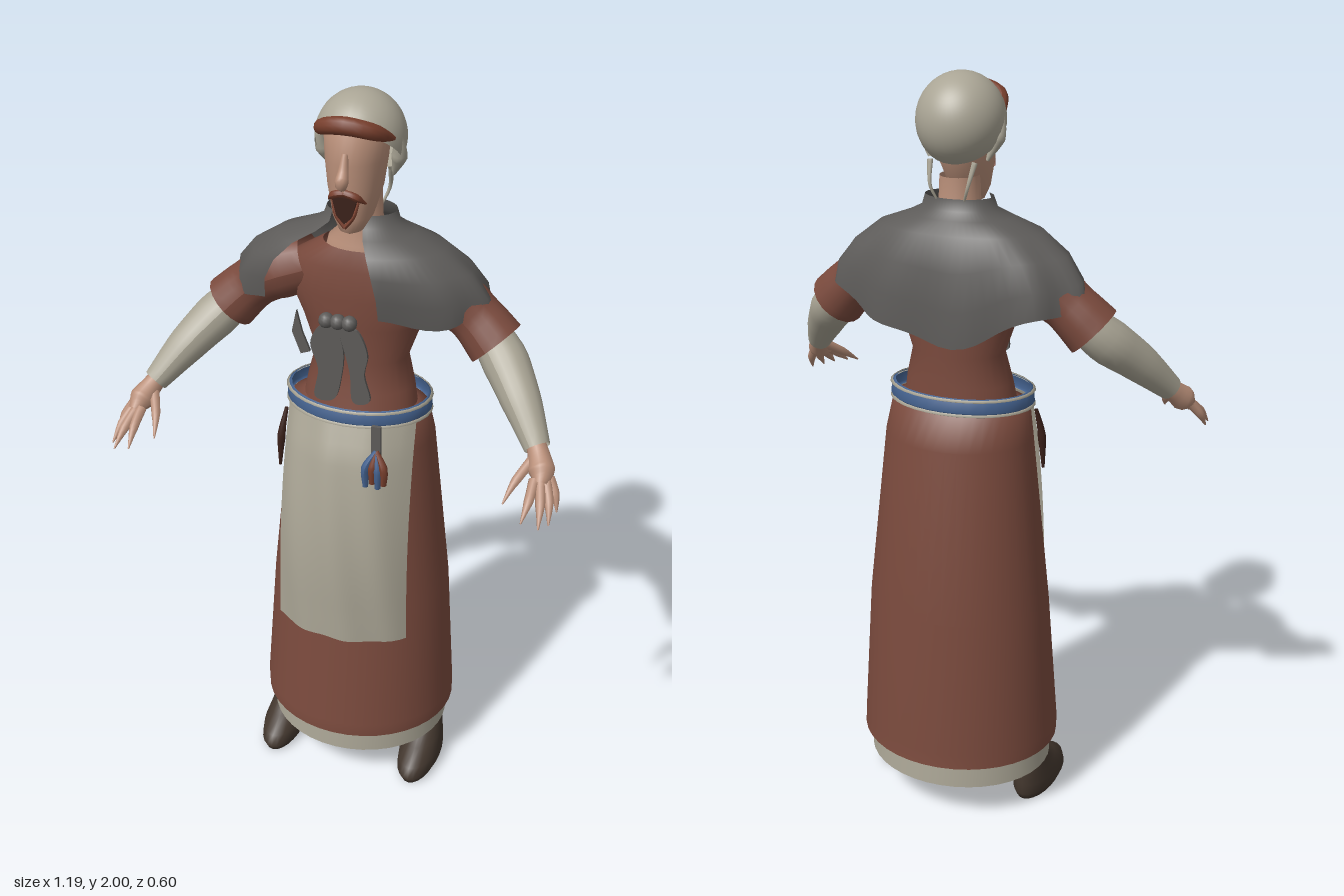
import * as THREE from 'three';

const mat = (name, color) => {
  const m = new THREE.MeshStandardMaterial({ color, side: THREE.DoubleSide });
  m.name = name;
  return m;
};
const V = (p) => new THREE.Vector3(...p);

export function createModel() {
  const model = new THREE.Group();
  model.name = 'villager';
  const red = mat('russet wool', 0x7a4a3d);
  const linen = mat('linen', 0xaaa595);
  const grey = mat('grey wool', 0x5d5b59);
  const skin = mat('skin', 0xb98f79);
  const blue = mat('blue belt', 0x44628f);
  const leather = mat('dark leather', 0x43372e);
  const hair = mat('red hair', 0x783f2d);
  const dark = mat('dark mouth', 0x3a2019);

  const add = (name, geometry, material, parent = model) => {
    const mesh = new THREE.Mesh(geometry, material);
    mesh.name = name;
    parent.add(mesh);
    return mesh;
  };

  // Surface from a rule fn(i, j); columns wrap round when closed
  const grid = (cols, rows, closed, fn) => {
    const pos = [], idx = [];
    for (let j = 0; j < rows; j++) for (let i = 0; i < cols; i++) pos.push(...fn(i, j));
    for (let j = 0; j < rows - 1; j++) for (let i = 0; i < (closed ? cols : cols - 1); i++) {
      const n = (i + 1) % cols, a = j * cols + i, b = j * cols + n;
      idx.push(a, b, b + cols, a, b + cols, a + cols);
    }
    const g = new THREE.BufferGeometry();
    g.setAttribute('position', new THREE.Float32BufferAttribute(pos, 3));
    g.setIndex(idx);
    g.computeVertexNormals();
    return g;
  };

  // Oval rings, bottom to top: [y, half width, front z, back z]
  const ringPoint = ([y, rx, zf, zb], a, cx = 0) =>
    [cx + rx * Math.sin(a), y, (zf + zb) / 2 + (zf - zb) / 2 * Math.cos(a)];
  const loft = (rings, cx = 0, seg = 32) =>
    grid(seg, rings.length, true, (i, j) => ringPoint(rings[j], i / seg * Math.PI * 2, cx));

  // Round limb along a curve, with radii spread evenly along it
  const limb = (points, radii, sides = 12, steps = 14) => {
    const curve = new THREE.CatmullRomCurve3(points.map(V));
    const g = new THREE.TubeGeometry(curve, steps, 1, sides);
    const p = g.attributes.position, n = g.attributes.normal;
    for (let k = 0; k < p.count; k++) {
      const t = Math.floor(k / (sides + 1)) / steps * (radii.length - 1);
      const i = Math.min(Math.floor(t), radii.length - 2);
      const d = THREE.MathUtils.lerp(radii[i], radii[i + 1], t - i) - 1;
      p.setXYZ(k, p.getX(k) + n.getX(k) * d, p.getY(k) + n.getY(k) * d, p.getZ(k) + n.getZ(k) * d);
    }
    g.computeVertexNormals();
    return g;
  };

  // Flat plate from an outline of [x, y] points
  const plate = (outline, z, depth = 0.008, curved = false) => {
    const s = new THREE.Shape();
    const pts = outline.map(([x, y]) => new THREE.Vector2(x, y));
    s.setFromPoints(curved ? new THREE.SplineCurve([...pts, pts[0]]).getPoints(40) : pts);
    return new THREE.ExtrudeGeometry(s, { depth, bevelEnabled: false }).translate(0, 0, z);
  };

  // Skirt and petticoat
  const skirt = [[0.18, 0.275, 0.205, -0.295], [0.22, 0.275, 0.205, -0.29], [0.6, 0.25, 0.16, -0.265],
    [1.07, 0.2, 0.115, -0.215], [1.16, 0.188, 0.09, -0.165], [1.17, 0.15, 0.06, -0.14]];
  add('skirt', loft(skirt, 0, 40), red);
  add('petticoat', loft([[0.11, 0.257, 0.187, -0.275], [0.26, 0.245, 0.175, -0.26]], 0, 40), linen);

  // Apron follows the front of the skirt
  const skirtZ = (x, y) => {
    let k = 0;
    while (k < 3 && skirt[k + 1][0] < y) k++;
    const t = (y - skirt[k][0]) / (skirt[k + 1][0] - skirt[k][0]);
    const [rx, zf, zb] = [1, 2, 3].map((c) => THREE.MathUtils.lerp(skirt[k][c], skirt[k + 1][c], t));
    return (zf + zb) / 2 + (zf - zb) / 2 * Math.sqrt(Math.max(0, 1 - (x / rx) ** 2));
  };
  add('apron', grid(25, 25, false, (i, j) => {
    const u = i / 12 - 1, v = j / 24, y = 0.51 + 0.65 * v, x = u * (0.187 - 0.012 * v);
    const folds = 0.004 * Math.sin(u * 9 + v * 4);
    return [x, y, skirtZ(x, y) + 0.016 + 0.028 * Math.sin(Math.PI * v) + folds];
  }), linen);

  // Belt with pale edging
  add('belt', loft([[1.16, 0.19, 0.108, -0.168], [1.165, 0.197, 0.112, -0.172],
    [1.195, 0.195, 0.11, -0.17], [1.2, 0.185, 0.1, -0.16]]), blue);
  for (const y of [1.153, 1.192])
    add('beltEdging', loft([[y, 0.192, 0.109, -0.169], [y + 0.003, 0.199, 0.115, -0.175],
      [y + 0.008, 0.192, 0.109, -0.169]]), linen);

  // Bodice, chest and neck
  add('bodice', loft([[1.16, 0.155, 0.07, -0.15], [1.22, 0.145, 0.055, -0.147], [1.3, 0.125, 0.04, -0.145],
    [1.4, 0.16, 0.045, -0.15], [1.48, 0.195, 0.05, -0.15], [1.56, 0.18, 0.045, -0.145],
    [1.61, 0.1, 0.03, -0.12]]), red);
  add('neck', loft([[1.56, 0.1, 0.03, -0.12], [1.62, 0.085, 0.025, -0.115], [1.65, 0.055, 0.01, -0.1],
    [1.75, 0.05, 0.01, -0.1]]), skin);

  // Shoulder cape, open at the front and pointed at the back
  const cape = [[1.45, 0.345, 0.09, -0.2], [1.51, 0.335, 0.1, -0.2], [1.57, 0.29, 0.105, -0.19],
    [1.62, 0.22, 0.09, -0.17], [1.65, 0.14, 0.055, -0.135], [1.67, 0.1, 0.025, -0.115],
    [1.7, 0.09, 0.015, -0.11]];
  add('cape', grid(57, cape.length, false, (i, j) => {
    const a = 0.25 + i / 56 * (Math.PI * 2 - 1);
    const [x, y, z] = ringPoint(cape[j], a), low = Math.max(0, 1 - j / 3);
    const back = Math.max(0, -Math.cos(a)) ** 4, k = 1 + 0.03 * low * Math.sin(a * 10);
    return [x * k, y - 0.1 * back * low + 0.01 * low * Math.sin(a * 7), z * k];
  }), grey);

  // Head
  add('head', loft([[1.665, 0.002, 0.05, 0.045], [1.675, 0.03, 0.068, 0], [1.71, 0.05, 0.078, -0.04],
    [1.78, 0.068, 0.08, -0.08], [1.85, 0.076, 0.086, -0.1], [1.92, 0.08, 0.08, -0.1],
    [1.96, 0.05, 0.05, -0.08]]), skin);
  add('nose', limb([[0, 1.88, 0.08], [0, 1.84, 0.093], [0, 1.812, 0.106], [0, 1.798, 0.08]],
    [0.008, 0.012, 0.017, 0.004]), skin);
  add('mouth', plate([[-0.032, 1.772], [-0.02, 1.725], [0, 1.705], [0.02, 1.725], [0.032, 1.772]], 0.08), dark);
  for (const s of [-1, 1]) {
    add('moustache', limb([[0, 1.785, 0.088], [s * 0.025, 1.778, 0.086], [s * 0.048, 1.755, 0.064]],
      [0.009, 0.01, 0.002], 8), hair);
    add('beardSide', limb([[s * 0.034, 1.765, 0.078], [s * 0.022, 1.725, 0.084], [0, 1.695, 0.084]],
      [0.003, 0.005, 0.005], 8), hair);
  }
  add('fringe', limb([[-0.094, 1.9, 0], [-0.058, 1.935, 0.062], [0, 1.947, 0.078], [0.058, 1.935, 0.062],
    [0.094, 1.9, 0]], [0.01, 0.02, 0.022, 0.02, 0.01]), hair);

  // Cap, tilted back, with side flaps and ties
  const cap = add('cap', new THREE.SphereGeometry(1, 32, 20, 0, Math.PI * 2, 0, Math.PI * 0.6), linen);
  cap.scale.set(0.112, 0.116, 0.118);
  cap.rotation.x = -0.72;
  cap.position.set(0, 1.884, -0.037);
  for (const s of [-1, 1]) {
    add('capFlap', limb([[s * 0.098, 1.9, -0.02], [s * 0.098, 1.85, -0.035], [s * 0.078, 1.79, -0.055]],
      [0.012, 0.02, 0.004]), linen);
    add('capTie', limb([[s * 0.06, 1.79, -0.09], [s * 0.05, 1.73, -0.112], [s * 0.035, 1.69, -0.1]],
      [0.008, 0.005, 0.003], 6), linen);
  }

  // Arms, hands, legs and shoes
  const fingers = [
    ['thumb', [0.512, 1.185, 0.15], [0.482, 1.145, 0.21], [0.466, 1.11, 0.26]],
    ['indexFinger', [0.528, 1.155, 0.2], [0.528, 1.125, 0.25], [0.522, 1.09, 0.3]],
    ['middleFinger', [0.543, 1.15, 0.2], [0.557, 1.115, 0.25], [0.565, 1.08, 0.297]],
    ['ringFinger', [0.555, 1.15, 0.19], [0.574, 1.115, 0.23], [0.584, 1.078, 0.268]],
    ['littleFinger', [0.56, 1.155, 0.175], [0.582, 1.12, 0.195], [0.592, 1.085, 0.215]]];
  for (const s of [-1, 1]) {
    const side = new THREE.Group();
    side.name = s > 0 ? 'leftLimbs' : 'rightLimbs';
    model.add(side);
    const path = (pts) => pts.map(([x, y, z]) => [s * x, y, z]);
    add('sleeve', limb(path([[0.14, 1.53, -0.055], [0.24, 1.49, -0.05], [0.31, 1.435, -0.045],
      [0.36, 1.385, -0.035]]), [0.075, 0.083, 0.068, 0.076], 18), red, side);
    add('forearm', limb(path([[0.31, 1.43, -0.045], [0.37, 1.375, -0.025], [0.45, 1.29, 0.055],
      [0.516, 1.205, 0.13]]), [0.05, 0.06, 0.05, 0.033], 18), linen, side);
    add('palm', limb(path([[0.508, 1.215, 0.12], [0.525, 1.19, 0.145], [0.54, 1.165, 0.175],
      [0.545, 1.148, 0.205]]), [0.024, 0.028, 0.034, 0.016]), skin, side);
    for (const [name, ...pts] of fingers)
      add(name, limb(path(pts), [0.014, 0.012, 0.002], 8, 8), skin, side);
    add('shoe', loft([[0, 0.002, 0.03, 0.02], [0, 0.05, 0.15, -0.09], [0.02, 0.059, 0.16, -0.1],
      [0.05, 0.058, 0.145, -0.1], [0.08, 0.05, 0.09, -0.1], [0.11, 0.043, 0.03, -0.095],
      [0.14, 0.038, 0.01, -0.085]], s * 0.213, 24), leather, side);
    add('stocking', loft([[0.12, 0.036, 0.008, -0.082], [0.5, 0.05, 0.02, -0.1]], s * 0.2, 16), linen, side);
  }

  // Ornament hanging before the chest
  add('ornamentLeft', plate([[0.0, 1.45], [0.05, 1.452], [0.078, 1.39], [0.07, 1.33], [0.085, 1.26],
    [0.04, 1.25], [0.032, 1.33], [0.015, 1.4]], 0.134, 0.008, true), grey);
  add('ornamentRight', plate([[0.0, 1.45], [-0.045, 1.452], [-0.072, 1.4], [-0.052, 1.33], [-0.062, 1.25],
    [-0.01, 1.25], [0.01, 1.32], [0.015, 1.39]], 0.134, 0.008, true), grey);
  add('smallBlade', plate([[-0.125, 1.46], [-0.138, 1.4], [-0.115, 1.34], [-0.09, 1.35], [-0.11, 1.4]], 0.09), grey);
  for (const x of [-0.03, 0, 0.03])
    add('ornamentKnob', new THREE.SphereGeometry(0.02, 12, 8).translate(x, 1.468, 0.138), grey);

  // Tassels at the belt
  add('tasselStrap', new THREE.BoxGeometry(0.025, 0.09, 0.01).translate(0.098, 1.135, 0.125), grey);
  [[0.075, blue], [0.093, hair], [0.108, blue], [0.124, hair]].forEach(([x, m], i) =>
    add('tassel', limb([[0.1, 1.11, 0.13], [x, 1.06, 0.142], [x, 1.005 + i % 2 * 0.012, 0.143]],
      [0.006, 0.012, 0.008], 8), m));
  add('sideTassel', limb([[-0.185, 1.13, 0.03], [-0.195, 1.06, 0.045], [-0.2, 0.96, 0.05]],
    [0.005, 0.012, 0.004], 8), dark);

  return model;
}
